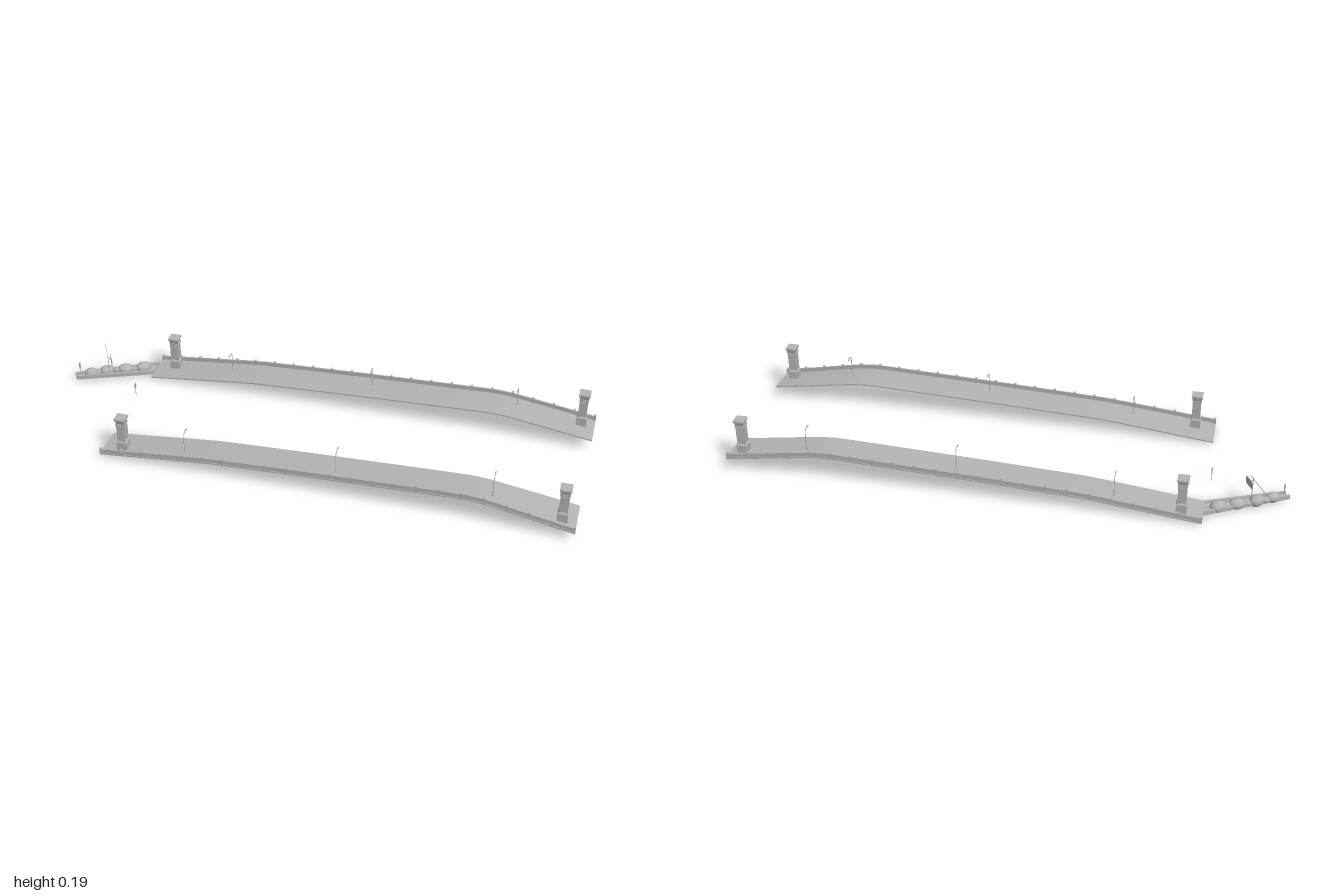
import * as THREE from 'three';
import { toCreasedNormals } from 'three/addons/utils/BufferGeometryUtils.js';

const stone = new THREE.MeshStandardMaterial({ color: 0xb4b4b4 });
stone.name = 'grey stone';

// Deck centreline: x, height of the walking surface
const PROFILE = [[-0.71, 0.006], [-0.36, 0.047], [-0.28, 0.055], [0.1, 0.074],
  [0.58, 0.094], [0.63, 0.095], [0.69, 0.091], [1, 0.044]];

function deckY(x, z) {
  let i = 1;
  while (i < PROFILE.length - 1 && x > PROFILE[i][0]) i++;
  const [x0, y0] = PROFILE[i - 1], [x1, y1] = PROFILE[i];
  let y = y0 + (y1 - y0) * (x - x0) / (x1 - x0);
  // the front deck tips slightly sideways at both ends
  if (z > 0) {
    const side = (z - 0.19) / 0.132;
    y -= 0.013 * side * Math.max(0, (x - 0.66) / 0.34);
    y += 0.004 * side * Math.max(0, (-0.31 - x) / 0.4);
  }
  return y;
}

function add(group, name, geometry, x = 0, y = 0, z = 0) {
  const mesh = new THREE.Mesh(geometry, stone);
  mesh.name = name;
  mesh.position.set(x, y, z);
  group.add(mesh);
  return mesh;
}

const box = (w, h, d) => new THREE.BoxGeometry(w, h, d);

// Slab that follows the deck profile between two z values and two offsets
function strip(za, zb, low, high) {
  const z0 = Math.min(za, zb), z1 = Math.max(za, zb);
  const pos = [], idx = [];
  for (const [x] of PROFILE) {
    pos.push(x, deckY(x, z0) + low, z0, x, deckY(x, z1) + low, z1,
      x, deckY(x, z1) + high, z1, x, deckY(x, z0) + high, z0);
  }
  const last = PROFILE.length - 1;
  for (let i = 0; i < last; i++) {
    for (let k = 0; k < 4; k++) {
      const a = i * 4 + k, b = i * 4 + (k + 1) % 4, c = b + 4, d = a + 4;
      idx.push(a, d, c, a, c, b);
    }
  }
  const e = last * 4;
  idx.push(0, 1, 2, 0, 2, 3, e, e + 2, e + 1, e, e + 3, e + 2);
  const g = new THREE.BufferGeometry();
  g.setAttribute('position', new THREE.Float32BufferAttribute(pos, 3));
  g.setIndex(idx);
  return toCreasedNormals(g, 0.6);
}

// Square block with different lower and upper widths
function taper(lower, upper, h) {
  const g = new THREE.CylinderGeometry(upper * Math.SQRT1_2, lower * Math.SQRT1_2, h, 4).toNonIndexed();
  g.rotateY(Math.PI / 4);
  g.computeVertexNormals();
  return g;
}

function makeTower() {
  const t = new THREE.Group();
  t.name = 'tower';
  add(t, 'towerPedestal', box(0.037, 0.036, 0.037), 0, 0.014, 0);
  add(t, 'pedestalMoulding', taper(0.037, 0.03, 0.006), 0, 0.035, 0);
  add(t, 'towerShaft', box(0.025, 0.08, 0.025), 0, 0.076, 0);
  for (let i = 0; i < 4; i++) {
    const a = i * Math.PI / 2;
    const sx = Math.sin(a), cz = Math.cos(a);
    const panel = add(t, 'shaftPanel', box(0.014, 0.05, 0.004), sx * 0.0135, 0.078, cz * 0.0135);
    panel.rotation.y = a;
    // corner pilasters
    const c = a + Math.PI / 4;
    add(t, 'cornerPilaster', box(0.006, 0.074, 0.006), Math.sin(c) * 0.0175, 0.075, Math.cos(c) * 0.0175);
  }
  add(t, 'towerCollar', box(0.035, 0.006, 0.035), 0, 0.112, 0);
  add(t, 'towerCapital', taper(0.029, 0.037, 0.015), 0, 0.122, 0);
  add(t, 'towerCap', box(0.041, 0.007, 0.041), 0, 0.133, 0);
  return t;
}

function makeLamp(side) {
  const l = new THREE.Group();
  l.name = 'streetLamp';
  const curve = new THREE.CatmullRomCurve3([[0, 0], [0, 0.04], [0, 0.072], [0.006, 0.083], [0.018, 0.087], [0.03, 0.085]]
    .map(([d, y]) => new THREE.Vector3(0, y, -side * d)));
  add(l, 'lampPole', new THREE.TubeGeometry(curve, 18, 0.0013, 6));
  add(l, 'lampBase', new THREE.CylinderGeometry(0.002, 0.003, 0.01, 8), 0, 0.005, 0);
  add(l, 'lampHead', box(0.004, 0.003, 0.012), 0, 0.084, -side * 0.028);
  return l;
}

function makeWalk(side) {
  const w = new THREE.Group();
  w.name = side > 0 ? 'frontWalkway' : 'backWalkway';
  add(w, 'deck', strip(side * 0.19, side * 0.323, -0.005, 0));
  add(w, 'parapetWall', strip(side * 0.3155, side * 0.3205, -0.002, 0.016));
  const count = 22;
  for (let i = 0; i <= count; i++) {
    const x = -0.706 + 1.702 * i / count;
    add(w, 'parapetPost', box(0.008, 0.024, 0.01), x, deckY(x, side * 0.318) + 0.009, side * 0.318);
  }
  for (const x of [-0.635, 0.95]) {
    const t = makeTower();
    t.position.set(x, deckY(x, side * 0.275), side * 0.275);
    w.add(t);
  }
  for (const x of [-0.4, 0.16, 0.71]) {
    const l = makeLamp(side);
    l.position.set(x, deckY(x, side * 0.272) - 0.004, side * 0.272);
    w.add(l);
  }
  return w;
}

// Flat polygon in x, z with a given thickness
function slab(points, h) {
  const s = new THREE.Shape(points.map(([x, z]) => new THREE.Vector2(x, -z)));
  const g = new THREE.ExtrudeGeometry(s, { depth: h, bevelEnabled: false });
  g.rotateX(-Math.PI / 2);
  return g;
}

// Pole with a small signal box on it
function makeSignal(x, y, z, h) {
  const s = new THREE.Group();
  s.name = 'signal';
  s.position.set(x, y, z);
  add(s, 'signalPole', new THREE.CylinderGeometry(0.001, 0.001, h, 6), 0, h / 2, 0);
  add(s, 'signalBox', box(0.004, 0.024, 0.006), 0, h - 0.016, 0);
  add(s, 'signalHood', box(0.006, 0.003, 0.007), 0, h - 0.01, 0);
  return s;
}

function makeJetty() {
  const j = new THREE.Group();
  j.name = 'rockyPath';
  add(j, 'pathBase', slab([[-1, -0.12], [-0.71, -0.278], [-0.71, -0.208], [-0.982, -0.094]], 0.008), 0, 0.005, 0);
  // kerbs along both long edges
  add(j, 'backKerb', slab([[-1, -0.12], [-0.71, -0.278], [-0.71, -0.268], [-0.996, -0.113]], 0.008), 0, 0.013, 0);
  add(j, 'frontKerb', slab([[-0.986, -0.1], [-0.71, -0.216], [-0.71, -0.208], [-0.982, -0.094]], 0.008), 0, 0.013, 0);
  // rounded boulders
  [[-0.94, -0.138, 0.024], [-0.887, -0.168, 0.027], [-0.82, -0.2, 0.029], [-0.757, -0.23, 0.029]].forEach(([x, z, r], i) => {
    const rock = add(j, 'boulder', new THREE.SphereGeometry(1, 12, 8), x, 0.017, z);
    rock.scale.set(r * 1.08, 0.02 + 0.002 * (i % 2), r * 0.8);
    rock.rotation.y = 0.45 + 0.2 * (i % 2);
  });
  [[-0.915, -0.155], [-0.853, -0.185], [-0.788, -0.214]].forEach(([x, z], i) => {
    const rock = add(j, 'smallBoulder', new THREE.SphereGeometry(1, 10, 7), x, 0.016, z);
    rock.scale.set(0.014, 0.011, 0.016);
    rock.rotation.y = i;
  });
  // signboard hanging on a cross arm
  const sign = new THREE.Group();
  sign.name = 'signPost';
  sign.position.set(-0.868, 0, -0.15);
  sign.rotation.y = 0.5;
  add(sign, 'signPole', new THREE.CylinderGeometry(0.0013, 0.0013, 0.09, 6), 0, 0.053, 0);
  add(sign, 'signArm', box(0.002, 0.002, 0.125), 0, 0.093, -0.04);
  add(sign, 'signBoard', box(0.003, 0.027, 0.05), 0.012, 0.078, 0.003);
  add(sign, 'boardBracket', box(0.012, 0.002, 0.004), 0.006, 0.088, 0);
  j.add(sign);
  j.add(makeSignal(-0.978, 0.012, -0.122, 0.058));
  return j;
}

export function createModel() {
  const model = new THREE.Group();
  model.name = 'bridgeWalkways';
  model.add(makeWalk(1), makeWalk(-1), makeJetty(), makeSignal(-0.722, 0.004, -0.06, 0.058));
  return model;
}
